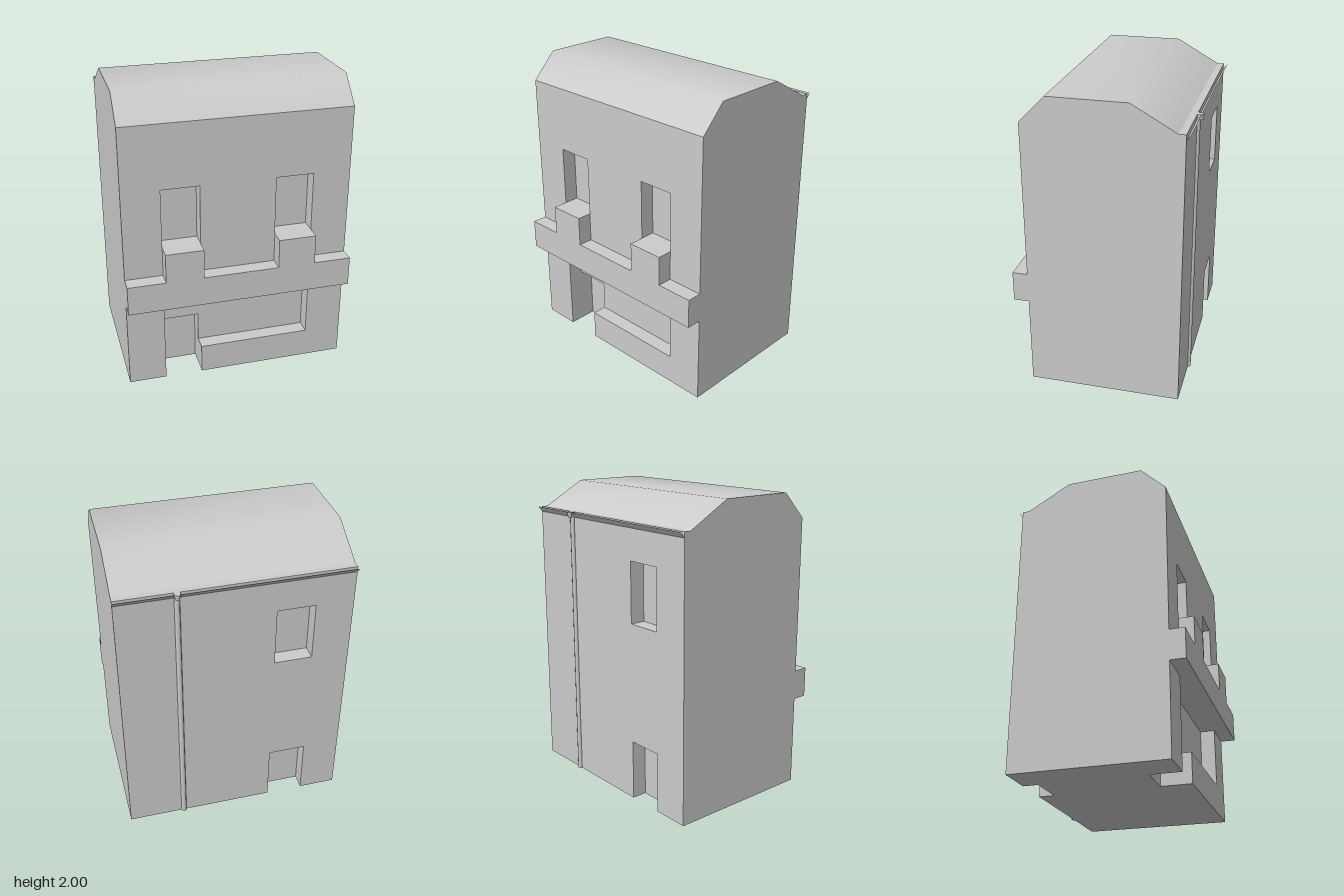
import * as THREE from 'three';

const W = 0.75, FRONT = 0.47, BACK = -0.53, EAVE = 1.83, D = 0.1;

export function createModel() {
  const model = new THREE.Group();
  const grey = new THREE.MeshStandardMaterial({ color: 0xcccccc });
  const thin = new THREE.MeshStandardMaterial({ color: 0xcccccc, side: THREE.DoubleSide });

  const add = (name, geometry, material = grey) => {
    const mesh = new THREE.Mesh(geometry, material);
    mesh.name = name;
    model.add(mesh);
    return mesh;
  };
  const box = (name, x0, x1, y0, y1, z0, z1) =>
    add(name, new THREE.BoxGeometry(x1 - x0, y1 - y0, z1 - z0)
      .translate((x0 + x1) / 2, (y0 + y1) / 2, (z0 + z1) / 2));
  const polygon = (points) => new THREE.Shape(points.map(([x, y]) => new THREE.Vector2(x, y)));

  // Wall slab: a notched outline along the ground, with rectangular window holes
  const slab = (name, z0, notch, windows = []) => {
    const shape = polygon([[-W, 0], ...notch, [W, 0], [W, EAVE], [-W, EAVE]]);
    for (const [x0, x1, y0, y1] of windows)
      shape.holes.push(polygon([[x0, y0], [x0, y1], [x1, y1], [x1, y0]]));
    add(name, new THREE.ExtrudeGeometry(shape, { depth: D, bevelEnabled: false }).translate(0, 0, z0));
  };
  const door = [[-0.5, 0], [-0.5, 0.4], [-0.25, 0.4], [-0.25, 0]];
  const shopFront = [[-0.5, 0], [-0.5, 0.6], [0.5, 0.6], [0.5, 0.2], [-0.25, 0.2], [-0.25, 0]];

  // Walls: layered so the windows and doors are recessed
  slab('frontWall', FRONT - D, shopFront, [[-0.5, -0.25, 1, 1.4], [0.25, 0.5, 1, 1.4]]);
  slab('frontDoorReveal', FRONT - 2 * D, door);
  box('core', -W, W, 0, EAVE, BACK + D, FRONT - 2 * D);
  slab('backWall', BACK, door, [[-0.5, -0.25, 1.2, 1.6]]);

  // Sign band with a box under each upper window
  const sign = polygon([
    [-W, 0.6], [W, 0.6], [W, 0.8], [0.5, 0.8], [0.5, 1], [0.25, 1], [0.25, 0.8],
    [-0.25, 0.8], [-0.25, 1], [-0.5, 1], [-0.5, 0.8], [-W, 0.8],
  ]);
  add('signBand', new THREE.ExtrudeGeometry(sign, { depth: D, bevelEnabled: false }).translate(0, 0, FRONT));

  // Sheet running the full width along a [z, y] profile, smooth across its creases
  const sheet = (name, profile, x0, x1, material) => {
    const positions = [], index = [];
    profile.forEach(([z, y], i) => {
      positions.push(x0, y, z, x1, y, z);
      const a = 2 * i;
      if (i < profile.length - 1) index.push(a, a + 1, a + 3, a, a + 3, a + 2);
    });
    const geometry = new THREE.BufferGeometry();
    geometry.setAttribute('position', new THREE.Float32BufferAttribute(positions, 3));
    geometry.setIndex(index);
    geometry.computeVertexNormals();
    return add(name, geometry, material);
  };

  // Roof skin and gable ends
  const roof = [[FRONT, EAVE], [0.305, 2], [-0.2, 2], [-0.485, 1.84]];
  sheet('roof', roof, -W, W, thin);
  box('rearLedge', -W, W, EAVE, 1.84, BACK, -0.485);
  const gable = polygon([...roof, [BACK, 1.84], [BACK, EAVE]].map(([z, y]) => [-z, y]));
  for (const side of [-1, 1])
    add('gable', new THREE.ShapeGeometry(gable).rotateY(Math.PI / 2).translate(side * W, 0, 0), thin);

  // Gutter: a sloping lip, broken where the downpipe meets it
  const px = 0.37;
  for (const [x0, x1] of [[-W, px - 0.02], [px + 0.02, W]])
    sheet('gutter', [[BACK, 1.805], [-0.557, 1.84]], x0, x1, thin);

  // Downpipe and its head
  add('downpipe', new THREE.CylinderGeometry(0.018, 0.018, 1.82, 8).translate(px, 0.91, BACK));
  add('pipeHead', new THREE.CylinderGeometry(0.02, 0.015, 0.035, 8).translate(px, 1.8225, -0.55));
  box('pipeInlet', px - 0.02, px + 0.02, 1.815, 1.84, -0.55, BACK);

  return model;
}
